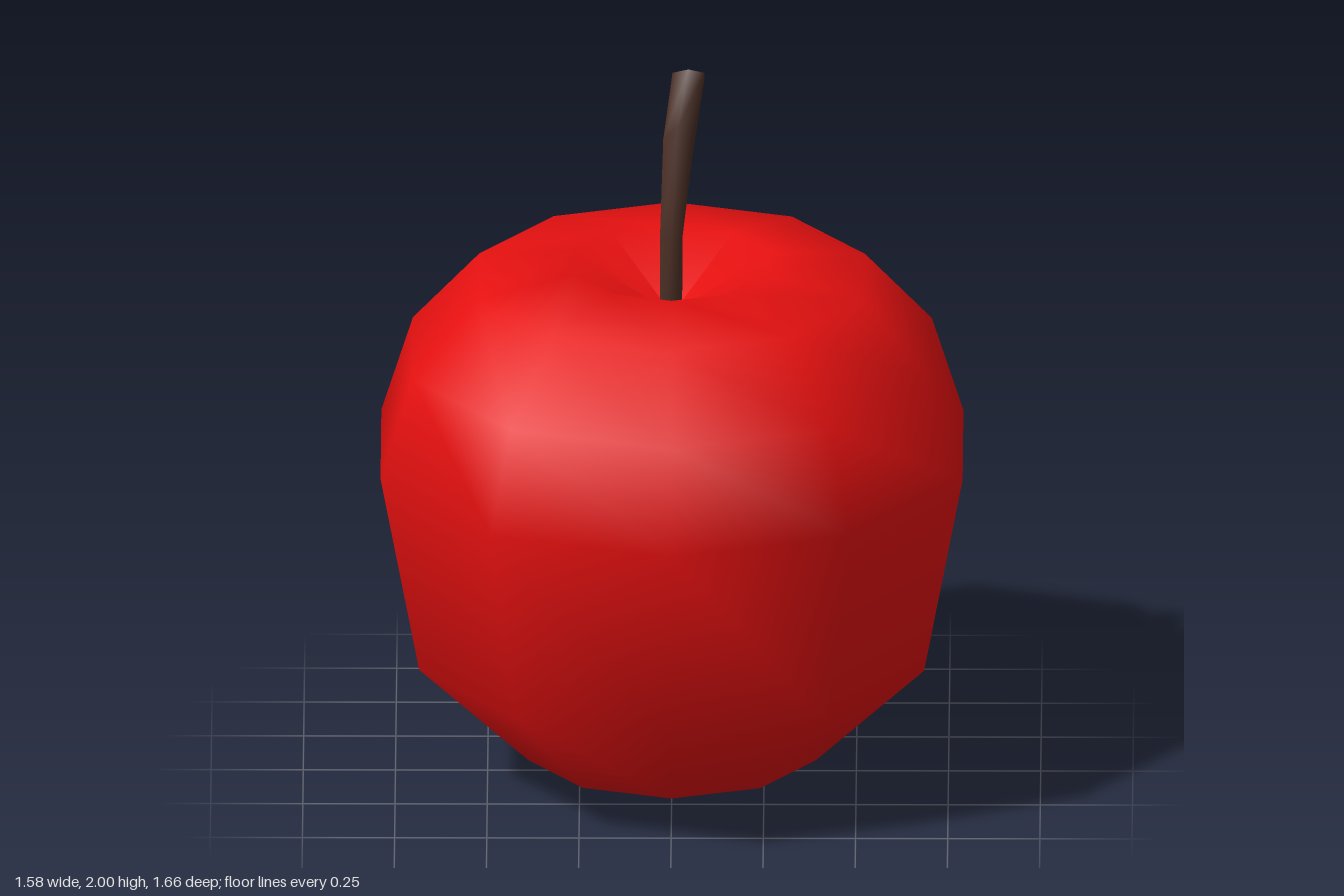
import * as THREE from 'three';

const SIDES = 6;

// Tapered, bent stem lofted through tilted hexagonal rings, with a flat cap on top
function stemGeometry(rings) {
  const pos = [], index = [];
  const ringPoint = (r, i) => {
    const a = (i % SIDES) / SIDES * Math.PI * 2;
    return [r.c[0] + r.rx * Math.sin(a), r.c[1] + r.tilt * Math.cos(a), r.c[2] + r.rz * Math.cos(a)];
  };
  for (const r of rings) for (let i = 0; i < SIDES; i++) pos.push(...ringPoint(r, i));
  for (let k = 0; k < rings.length - 1; k++) {
    for (let i = 0; i < SIDES; i++) {
      const a = k * SIDES + i, b = k * SIDES + (i + 1) % SIDES;
      index.push(a, b, b + SIDES, a, b + SIDES, a + SIDES);
    }
  }
  // cap has its own vertices so its edge stays sharp
  const top = rings[rings.length - 1], start = pos.length / 3;
  for (let i = 0; i < SIDES; i++) pos.push(...ringPoint(top, i));
  for (let i = 1; i < SIDES - 1; i++) index.push(start, start + i, start + i + 1);

  const g = new THREE.BufferGeometry();
  g.setAttribute('position', new THREE.Float32BufferAttribute(pos, 3));
  g.setIndex(index);
  g.computeVertexNormals();
  return g;
}

export function createModel() {
  const group = new THREE.Group();
  group.name = 'apple';

  const red = new THREE.MeshStandardMaterial({ color: 0xe51010 });
  red.name = 'red skin';
  const brown = new THREE.MeshStandardMaterial({ color: 0x4a2e24 });
  brown.name = 'brown stem';

  // Fruit: ten-sided lathe with a dimple at the top
  const profile = [
    [0, 0], [0.41, 0.08], [0.72, 0.38], [0.83, 0.95], [0.74, 1.23],
    [0.55, 1.44], [0.28, 1.48], [0, 1.33],
  ].map(([r, y]) => new THREE.Vector2(r, y));
  const fruit = new THREE.Mesh(new THREE.LatheGeometry(profile, 10), red);
  fruit.name = 'fruit';
  group.add(fruit);

  // Stem: leans back and a little to the left
  const stem = new THREE.Mesh(stemGeometry([
    { c: [-0.003, 1.28, 0], rx: 0.035, rz: 0.035, tilt: 0 },
    { c: [-0.002, 1.56, -0.002], rx: 0.035, rz: 0.035, tilt: 0 },
    { c: [0.015, 1.79, -0.053], rx: 0.045, rz: 0.017, tilt: 0.066 },
    { c: [0.044, 1.967, -0.146], rx: 0.05, rz: 0.034, tilt: 0.033 },
  ]), brown);
  stem.name = 'stem';
  group.add(stem);

  return group;
}
